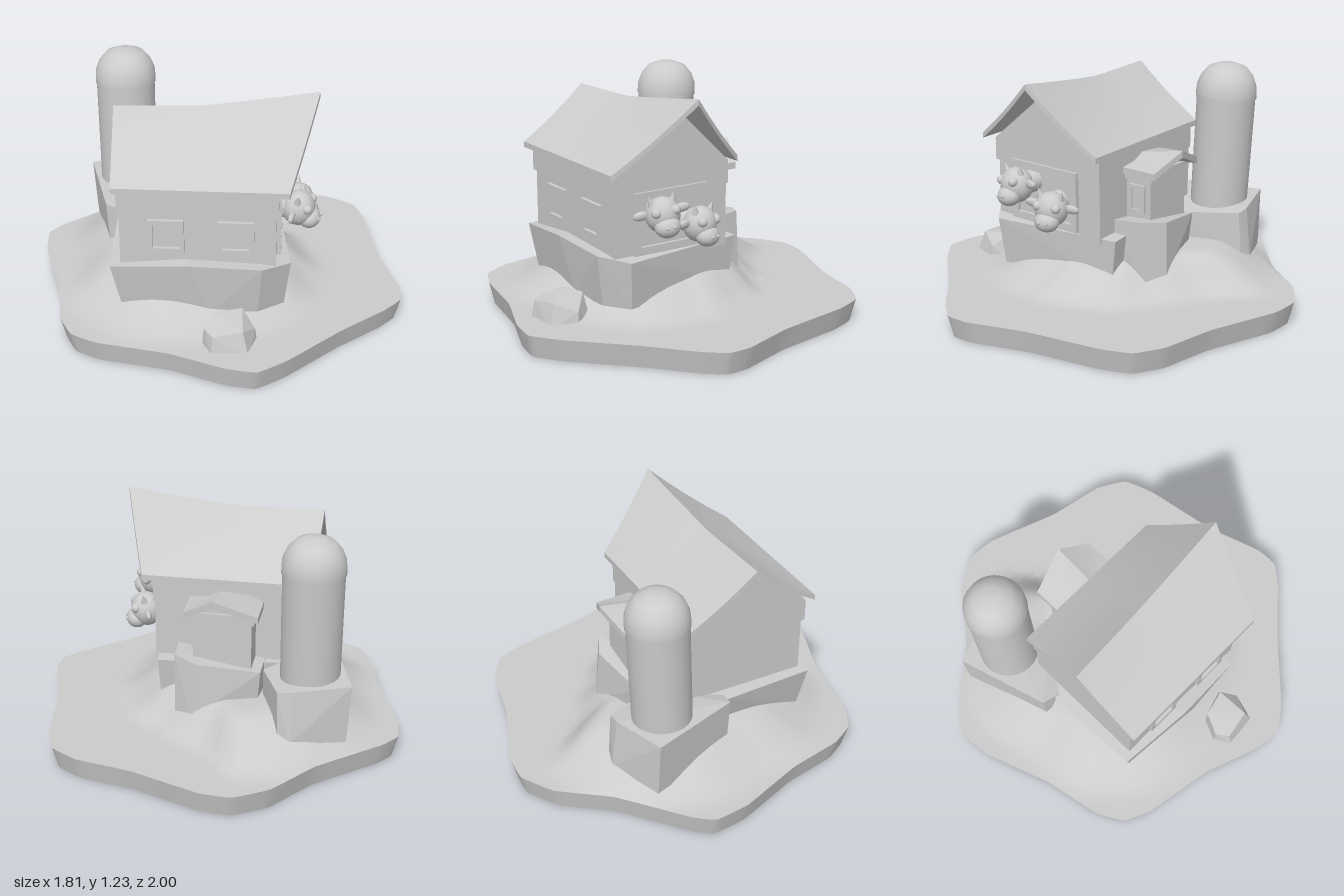
import * as THREE from 'three';
import { toCreasedNormals } from 'three/addons/utils/BufferGeometryUtils.js';
import { ConvexGeometry } from 'three/addons/geometries/ConvexGeometry.js';

const smooth = new THREE.MeshStandardMaterial({ color: 0xcccccc });
const flat = new THREE.MeshStandardMaterial({ color: 0xcccccc, flatShading: true });
const open = new THREE.MeshStandardMaterial({ color: 0xcccccc, side: THREE.DoubleSide });
const lerp = THREE.MathUtils.lerp;

function add(parent, name, geometry, material = smooth, x = 0, y = 0, z = 0) {
  const mesh = new THREE.Mesh(geometry, material);
  mesh.name = name;
  mesh.position.set(x, y, z);
  parent.add(mesh);
  return mesh;
}

// Faceted solid around a few corner points
const solid = (parent, name, points) =>
  add(parent, name, new ConvexGeometry(points.map(p => new THREE.Vector3(...p))), flat);

// Unit box whose vertices are moved by a rule
function bentBox(sx, sz, rule) {
  const geo = new THREE.BoxGeometry(1, 1, 1, sx, 1, sz);
  const p = geo.attributes.position;
  for (let i = 0; i < p.count; i++) p.setXYZ(i, ...rule(p.getX(i), p.getY(i), p.getZ(i)));
  return toCreasedNormals(geo, 0.45);
}

// Square frame with a thin recessed pane, facing +z
function windowFrame(parent, name, w, h, border, depth) {
  const group = new THREE.Group();
  group.name = name;
  const rect = (s, a, b) => s.moveTo(-a, -b).lineTo(a, -b).lineTo(a, b).lineTo(-a, b).closePath();
  const shape = rect(new THREE.Shape(), w / 2, h / 2);
  shape.holes.push(rect(new THREE.Path(), w / 2 - border, h / 2 - border));
  add(group, 'frame', new THREE.ExtrudeGeometry(shape, { depth, bevelEnabled: false }));
  add(group, 'pane', new THREE.BoxGeometry(w - border, h - border, 0.012));
  parent.add(group);
  return group;
}

// Ground height: a mound whose foot distance changes every 30 degrees, from +x towards +z
const mid = { x: -0.1, z: -0.1 };
const foot = [0.62, 0.72, 0.84, 0.84, 0.9, 0.86, 0.74, 0.78, 0.8, 0.78, 0.53, 0.52];
function groundHeight(x, z) {
  const dx = x - mid.x, dz = z - mid.z;
  const a = ((Math.atan2(dz, dx) / Math.PI + 2) % 2) * 6;
  const i = Math.floor(a) % 12;
  const f = THREE.MathUtils.smoothstep(a - Math.floor(a), 0, 1);
  const d = Math.hypot(dx, dz) / lerp(foot[i], foot[(i + 1) % 12], f);
  return 0.12 + 0.18 * (1 - THREE.MathUtils.smoothstep(d, 0.5, 1));
}

function island() {
  const outline = [[0.01, -1], [0.17, -0.95], [0.49, -0.73], [0.76, -0.6], [0.88, -0.48], [0.9, -0.31],
    [0.87, 0.09], [0.89, 0.4], [0.86, 0.52], [0.75, 0.6], [0.48, 0.74], [0.17, 0.93], [0, 1],
    [-0.15, 0.94], [-0.4, 0.77], [-0.73, 0.62], [-0.85, 0.52], [-0.89, 0.37], [-0.875, 0.07],
    [-0.91, -0.3], [-0.88, -0.49], [-0.78, -0.57], [-0.42, -0.75], [-0.18, -0.94]];
  const points = outline.map(([x, z]) => new THREE.Vector3(x, 0, z));
  const curve = new THREE.CatmullRomCurve3(points, true, 'catmullrom', 0.15);
  const n = 96, rings = 20, pos = [], index = [];
  const edge = curve.getPoints(n).slice(0, n);
  for (let k = 0; k <= rings; k++) for (const e of edge) {
    const r = k === 0 ? 0.97 : 1 - (k - 1) / (rings - 1);
    const x = lerp(k ? mid.x : 0, e.x, r), z = lerp(k ? mid.z : 0, e.z, r);
    pos.push(x, k === 0 ? 0 : k === 1 ? 0.12 : groundHeight(x, z), z);
  }
  for (let k = 0; k < rings; k++) for (let j = 0; j < n; j++) {
    const a = k * n + j, b = k * n + (j + 1) % n, c = a + n, d = b + n;
    index.push(a, c, b);
    if (k < rings - 1) index.push(b, c, d);
  }
  const geo = new THREE.BufferGeometry();
  geo.setAttribute('position', new THREE.Float32BufferAttribute(pos, 3));
  geo.setIndex(index);
  return toCreasedNormals(geo, 0.6);
}

// Cow head looking along +z
function cow(parent, name, position, target, roll) {
  const g = new THREE.Group();
  g.name = name;
  const ball = (part, r, x, y, z, sx = 1, sy = 1, sz = 1) =>
    add(g, part, new THREE.SphereGeometry(r, 18, 12), smooth, x, y, z).scale.set(sx, sy, sz);
  ball('head', 0.088, 0, 0, 0, 1, 1.05, 0.95);
  ball('snout', 0.066, 0, -0.04, 0.06, 1, 0.82, 0.88);
  for (const s of [-1, 1]) {
    ball('nostril', 0.009, s * 0.02, -0.025, 0.111);
    ball('eye', 0.025, s * 0.05, 0.038, 0.052);
    ball('ear', 0.04, s * 0.108, 0.012, -0.01, 1.05, 0.6, 0.4);
    const horn = add(g, 'horn', new THREE.ConeGeometry(0.02, 0.05, 10), smooth, s * 0.06, 0.088, 0);
    horn.rotation.z = -s * 0.3;
  }
  const neck = add(g, 'neck', new THREE.CylinderGeometry(0.06, 0.06, 0.14, 16), smooth, 0, -0.01, -0.08);
  neck.rotation.x = Math.PI / 2;
  g.position.set(...position);
  g.lookAt(...target);
  g.rotateZ(roll);
  parent.add(g);
}

function buildHouse(root) {
  const house = new THREE.Group();
  house.name = 'house';
  house.position.set(-0.11, 0, 0.18);
  house.rotation.y = -0.243;
  root.add(house);

  // Stone foundations
  solid(house, 'foundation', [[-0.45, 0.425, 0.35], [-0.05, 0.465, 0.39], [0.31, 0.45, 0.38], [0.45, 0.43, 0.27],
    [0.35, 0.43, -0.43], [-0.44, 0.45, -0.37], [-0.47, 0.44, -0.15], [-0.4, 0.18, 0.32], [0.05, 0.18, 0.36],
    [0.29, 0.18, 0.34], [0.42, 0.18, 0.25], [0.34, 0.2, -0.4], [-0.4, 0.2, -0.33]]);
  solid(house, 'annexFoundation', [[-0.2, 0.45, -0.52], [0.12, 0.5, -0.58], [0.24, 0.52, -0.52], [0.26, 0.5, -0.3],
    [-0.2, 0.45, -0.3], [-0.18, 0.2, -0.5], [0.14, 0.2, -0.6], [0.24, 0.2, -0.54], [0.25, 0.2, -0.3], [-0.2, 0.2, -0.3]]);

  // Walls: lower storey and wider gabled upper part
  add(house, 'lowerWall', new THREE.BoxGeometry(0.775, 0.36, 0.67), smooth, -0.0125, 0.58, -0.015);
  const upper = [];
  for (const u of [-0.41, 0.385]) {
    for (const v of [-0.355, 0.335]) upper.push([u, 0.73, v], [u, 0.85, v]);
    upper.push([u, u > 0 ? 1.16 : 1.1, u > 0 ? -0.03 : 0]);
  }
  solid(house, 'upperWall', upper);

  // Main roof: swept ridge that rises and juts out at one end
  add(house, 'roof', bentBox(12, 8, (x, y, z) => {
    const t = x + 0.5, a = Math.abs(2 * z);
    const ridgeY = 1.15 + 0.08 * Math.pow(Math.max(0, (t - 0.4) / 0.6), 1.15);
    const u = lerp(lerp(-0.45, 0.57, t), lerp(-0.43, 0.437, t), a);
    const v = lerp(lerp(0.01, -0.04, t), Math.sign(z) * 0.375, a);
    return [u, lerp(ridgeY, 0.882, a) - 0.05 * a * (1 - a) + (y - 0.5) * 0.03, v];
  }));

  // Annex with its own gable roof
  const annex = [];
  for (const v of [-0.2, -0.5]) annex.push([-0.15, 0.42, v], [0.15, 0.42, v],
    [-0.15, 0.74, v], [0.15, 0.74, v], [0.02, v < -0.4 ? 0.82 : 0.76, v]);
  solid(house, 'annexWall', annex);
  add(house, 'annexBand', new THREE.BoxGeometry(0.33, 0.05, 0.24), smooth, 0, 0.73, -0.395);
  add(house, 'annexRoof', bentBox(2, 1, (x, y, z) => {
    const a = Math.abs(2 * x), back = z < 0;
    return [lerp(0.03, Math.sign(x) * 0.19, a), lerp(back ? 0.865 : 0.79, 0.77, a) + (y - 0.5) * 0.035,
      back ? lerp(-0.61, -0.55, a) : -0.24];
  }));

  // Windows
  for (const u of [-0.168, 0.177])
    windowFrame(house, 'frontWindow', 0.18, 0.18, 0.025, 0.025).position.set(u, 0.6, 0.317);
  const side = windowFrame(house, 'gableWindow', 0.43, 0.32, 0.04, 0.025);
  side.position.set(0.374, 0.6, 0);
  side.rotation.y = Math.PI / 2;
  const small = windowFrame(house, 'annexWindow', 0.1, 0.15, 0.02, 0.015);
  small.position.set(0.148, 0.605, -0.42);
  small.rotation.y = Math.PI / 2;
}

function buildSilo(root) {
  solid(root, 'siloFoundation', [[-0.61, 0.48, -0.61], [-0.31, 0.47, -0.63], [-0.24, 0.46, -0.61], [-0.2, 0.44, -0.32],
    [-0.59, 0.48, -0.12], [-0.5, 0.45, -0.08], [-0.59, 0.17, -0.61], [-0.3, 0.2, -0.66], [-0.24, 0.2, -0.63],
    [-0.2, 0.2, -0.3], [-0.57, 0.18, -0.12]]);
  const silo = new THREE.Group();
  silo.name = 'silo';
  silo.position.set(-0.425, 0.4, -0.43);
  silo.rotation.x = -0.045;
  root.add(silo);
  add(silo, 'siloBody', new THREE.CylinderGeometry(0.155, 0.152, 0.66, 24), smooth, 0, 0.33, 0);
  add(silo, 'siloRim', new THREE.CylinderGeometry(0.16, 0.16, 0.02, 24), smooth, 0, 0.645, 0);
  const dome = [[0.16, 0.655], [0.157, 0.7], [0.138, 0.75], [0.1, 0.795], [0.05, 0.815], [0, 0.818]];
  add(silo, 'siloDome', new THREE.LatheGeometry(dome.map(p => new THREE.Vector2(...p)), 24));
}

export function createModel() {
  const root = new THREE.Group();
  root.name = 'farmIsland';
  add(root, 'ground', island(), open);
  buildHouse(root);
  buildSilo(root);
  cow(root, 'frontCow', [0.33, 0.66, 0.4], [0.43, 0.645, 0.45], 0.12);
  cow(root, 'rearCow', [0.38, 0.575, 0.18], [0.48, 0.555, 0.18], -0.05);

  // Loose rock in front of the house
  solid(root, 'rock', [[-0.22, 0.1, 0.72], [-0.19, 0.1, 0.81], [-0.01, 0.1, 0.84], [0.06, 0.1, 0.72], [0.03, 0.1, 0.61],
    [-0.16, 0.1, 0.63], [-0.21, 0.21, 0.72], [-0.14, 0.24, 0.63], [0, 0.245, 0.63], [0.05, 0.17, 0.71],
    [-0.03, 0.22, 0.8], [-0.18, 0.2, 0.79]]);
  return root;
}
